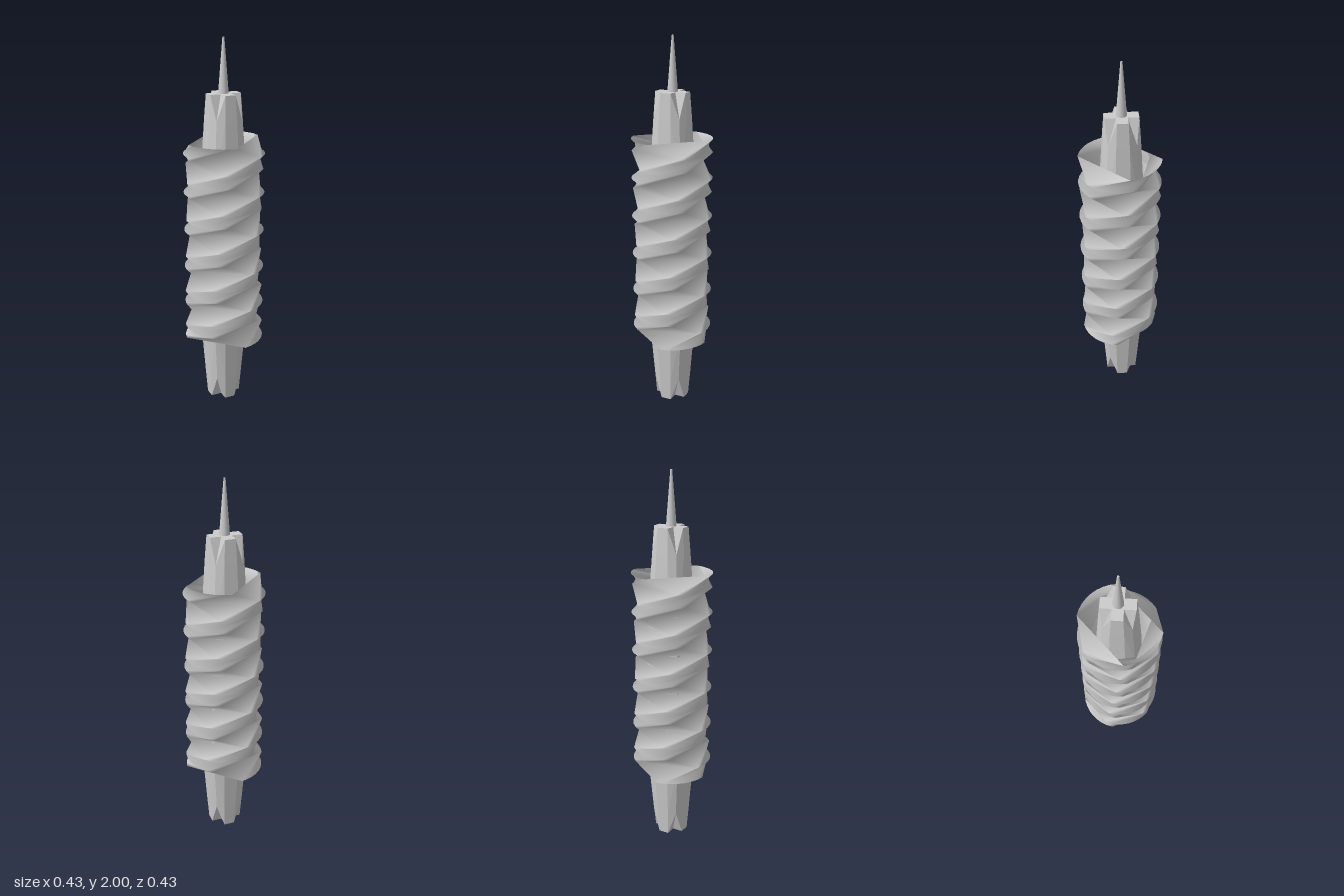
import * as THREE from 'three';

const grey = new THREE.MeshStandardMaterial({ color: 0xcccccc, side: THREE.DoubleSide });
const greyFlat = new THREE.MeshStandardMaterial({ color: 0xcccccc, flatShading: true });

function makeMesh(name, positions, indices, material) {
  const geometry = new THREE.BufferGeometry();
  geometry.setAttribute('position', new THREE.Float32BufferAttribute(positions, 3));
  geometry.setIndex(indices);
  geometry.computeVertexNormals();
  const mesh = new THREE.Mesh(geometry, material);
  mesh.name = name;
  return mesh;
}

// Open sleeve: a circle cut by two flats, turned 2.75 times over sixteen steps
function sleeve() {
  const bottom = 0.37, top = 1.48, radius = 0.213, flat = 0.127;
  const rings = 16, step = THREE.MathUtils.degToRad(990 / rings), arcSteps = 8;
  const topAngle = THREE.MathUtils.degToRad(-45);
  const arcHalf = Math.asin(flat / radius);
  const perRing = 2 * (arcSteps + 1);
  const positions = [], indices = [];
  for (let r = 0; r <= rings; r++) {
    const y = bottom + (top - bottom) * r / rings;
    const turn = topAngle + (rings - r) * step;
    for (let side = 0; side < 2; side++) {
      for (let a = 0; a <= arcSteps; a++) {
        const angle = turn + side * Math.PI + arcHalf * (2 * a / arcSteps - 1);
        positions.push(radius * Math.cos(angle), y, radius * Math.sin(angle));
      }
    }
  }
  for (let r = 0; r < rings; r++) {
    for (let i = 0; i < perRing; i++) {
      const a = r * perRing + i, b = r * perRing + (i + 1) % perRing;
      indices.push(a, a + perRing, b + perRing, a, b + perRing, b);
    }
  }
  return makeMesh('twistedSleeve', positions, indices, grey);
}

// Tapered core: a plus-shaped section at both ends that fills out to a twelve-sided one
function core() {
  // height, arm length, arm half width, corner between the arms
  const sections = [
    [0, 0.085, 0.028, 0.028],
    [0.13, 0.095, 0.033, 0.072],
    [0.44, 0.117, 0.043, 0.093],
    [1.2, 0.117, 0.043, 0.093],
    [1.59, 0.094, 0.033, 0.071],
    [1.72, 0.085, 0.028, 0.028],
  ];
  const positions = [], indices = [];
  for (const [y, arm, width, corner] of sections) {
    for (let q = 0; q < 4; q++) {
      const cos = Math.round(Math.cos(q * Math.PI / 2));
      const sin = Math.round(Math.sin(q * Math.PI / 2));
      for (const [x, z] of [[arm, -width], [arm, width], [corner, corner]]) {
        positions.push(x * cos - z * sin, y, x * sin + z * cos);
      }
    }
  }
  const last = (sections.length - 1) * 12;
  const low = sections.length * 12, high = low + 1;
  positions.push(0, 0, 0, 0, 1.72, 0);
  for (let i = 0; i < 12; i++) {
    const j = (i + 1) % 12;
    for (let s = 0; s < last; s += 12) {
      const a = s + i, b = s + j, aUp = a + 12, bUp = b + 12;
      // fold the notches the same way on both sides of each arm
      if (i % 3 === (s < last / 2 ? 1 : 2)) indices.push(a, aUp, bUp, a, bUp, b);
      else indices.push(a, aUp, b, b, aUp, bUp);
    }
    indices.push(low, i, j, high, last + j, last + i);
  }
  return makeMesh('core', positions, indices, greyFlat);
}

export function createModel() {
  const model = new THREE.Group();
  model.name = 'twistedSpindle';
  model.add(sleeve());

  // Core and needle sit slightly behind the sleeve's axis
  const shaft = new THREE.Group();
  shaft.name = 'shaft';
  shaft.position.z = -0.007;
  shaft.add(core());
  const needle = new THREE.Mesh(
    new THREE.CylinderGeometry(0.005, 0.027, 0.28, 24),
    new THREE.MeshStandardMaterial({ color: 0xcccccc })
  );
  needle.name = 'needle';
  needle.position.y = 1.86;
  shaft.add(needle);
  model.add(shaft);

  return model;
}
